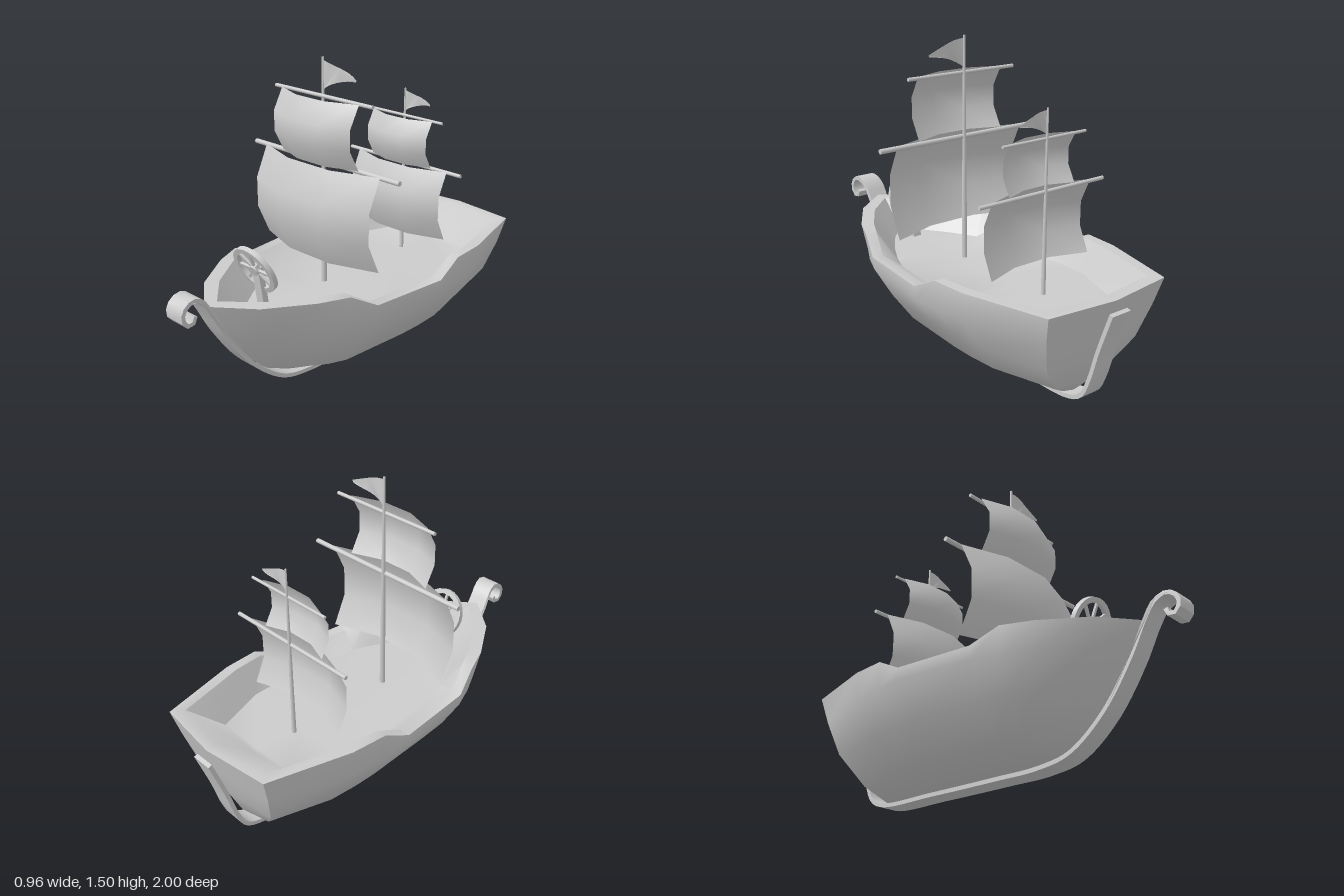
import * as THREE from 'three';
import { toCreasedNormals } from 'three/addons/utils/BufferGeometryUtils.js';

const grey = new THREE.MeshStandardMaterial({ color: 0xcccccc });
const thin = new THREE.MeshStandardMaterial({ color: 0xcccccc, side: THREE.DoubleSide });

function add(parent, name, geometry, material = grey) {
  const mesh = new THREE.Mesh(geometry, material);
  mesh.name = name;
  parent.add(mesh);
  return mesh;
}

// Hull: half outlines from stem to stern, mirrored into closed loops and stitched upwards
function hullGeometry() {
  const dip = [.54, .54, .54, .54, .47, .47, .54, .54, .54, .54];
  const row = (y, x, z) => ({ y: x.map((_, i) => (Array.isArray(y) ? y[i] : y)), x, z });
  const flat = r => ({ ...r, x: r.x.map(() => 0) });
  const bottom = row(.03, [0, .03, .05, .05, .05, .05, .05, .05, .05, 0],
    [.35, .3, .26, .22, .16, -.2, -.31, -.45, -.72, -.74]);
  const deck = row(.4, [0, .09, .18, .25, .29, .33, .335, .33, .24, 0],
    [.62, .53, .4, .27, .17, -.2, -.33, -.45, -.7, -.73]);
  const rows = [
    flat(bottom),
    bottom,
    row(.1, [0, .07, .14, .19, .225, .25, .25, .24, .15, 0],
      [.5, .42, .34, .27, .18, -.2, -.32, -.47, -.775, -.81]),
    row(.25, [0, .13, .25, .3, .335, .36, .355, .34, .265, 0],
      [.65, .53, .39, .3, .19, -.2, -.33, -.49, -.845, -.88]),
    row(.41, [0, .175, .315, .38, .43, .475, .465, .445, .315, 0],
      [.76, .62, .44, .32, .2, -.2, -.34, -.51, -.89, -.925]),
    row(dip, [0, .19, .33, .39, .435, .475, .465, .45, .34, 0],
      [.83, .68, .47, .33, .2, -.2, -.34, -.52, -.925, -.965]),
    row(dip, [0, .155, .275, .335, .38, .42, .415, .4, .3, 0],
      [.76, .62, .44, .32, .2, -.2, -.34, -.5, -.865, -.905]),
    deck,
    flat(deck),
  ];
  const half = 10, loop = 2 * half - 2;
  const position = [], index = [];
  rows.forEach((r, j) => {
    for (let i = 0; i < loop; i++) {
      const k = i < half ? i : loop - i;
      position.push(i < half ? r.x[k] : -r.x[k], r.y[k], r.z[k]);
      if (j === rows.length - 1) continue;
      const a = j * loop + i, b = j * loop + (i + 1) % loop;
      index.push(a, b, b + loop, a, b + loop, a + loop);
    }
  });
  const g = new THREE.BufferGeometry();
  g.setAttribute('position', new THREE.Float32BufferAttribute(position, 3));
  g.setIndex(index);
  return toCreasedNormals(g, .7);
}

// Keel strip: a constant-thickness band following a side profile, ending in a scroll
function keelGeometry() {
  const path = [[-.988, .495], [-.92, .3], [-.875, .15], [-.83, .06], [-.75, .022], [-.4, .013],
    [0, .01], [.25, .012], [.42, .045], [.6, .18], [.75, .38], [.83, .525], [.88, .602],
    [.93, .625], [.975, .602], [.99, .56], [.968, .523], [.935, .527], [.925, .553]];
  const curve = new THREE.CatmullRomCurve3(path.map(p => new THREE.Vector3(p[0], p[1], 0)));
  const outer = [], inner = [], n = 90, h = .01;
  for (let i = 0; i <= n; i++) {
    const p = curve.getPointAt(i / n), t = curve.getTangentAt(i / n);
    outer.push(new THREE.Vector2(p.x + t.y * h, p.y - t.x * h));
    inner.unshift(new THREE.Vector2(p.x - t.y * h, p.y + t.x * h));
  }
  const g = new THREE.ExtrudeGeometry(new THREE.Shape([...outer, ...inner]),
    { depth: .105, bevelEnabled: false });
  g.translate(0, 0, -.0525).rotateY(-Math.PI / 2);
  // The scroll leans slightly to one side
  const p = g.attributes.position;
  for (let i = 0; i < p.count; i++) {
    p.setX(i, p.getX(i) + .015 * THREE.MathUtils.smoothstep(p.getZ(i), .83, .93));
  }
  return toCreasedNormals(g, .6);
}

// Sail: a 3 x 3 patch bellied forward in both directions
function sailGeometry(width, bottom, top, z, bellyX, bellyY) {
  const g = new THREE.PlaneGeometry(width, top - bottom, 3, 3);
  const p = g.attributes.position;
  for (let i = 0; i < p.count; i++) {
    const col = i % 4, line = Math.floor(i / 4);
    const midX = col === 1 || col === 2, midY = line === 1 || line === 2;
    if (midX) p.setX(i, Math.sign(p.getX(i)) * width * .18);
    p.setY(i, p.getY(i) + (top + bottom) / 2);
    p.setZ(i, z + (midX ? bellyX : 0) + (midY ? bellyY : 0));
  }
  g.computeVertexNormals();
  return g;
}

// Mast with two yards, two sails and a pennant, standing on its own origin
function createMast(name) {
  const mast = new THREE.Group();
  mast.name = name;
  add(mast, 'mastPole', new THREE.CylinderGeometry(.006, .014, 1.1, 10).translate(0, .55, 0));
  for (const [y, length, r, x] of [[.617, .93, .012, .007], [.925, .615, .009, .004]]) {
    add(mast, 'yard', new THREE.CylinderGeometry(r, r, length, 10)
      .rotateZ(Math.PI / 2).translate(x, y, .008));
  }
  add(mast, 'lowerSail', sailGeometry(.74, .165, .622, .02, .08, .07), thin);
  add(mast, 'upperSail', sailGeometry(.49, .625, .928, .025, .058, .055), thin);
  const flag = new THREE.Shape();
  flag.moveTo(0, 1.088);
  flag.quadraticCurveTo(.1, 1.075, .205, 1.025);
  flag.lineTo(.2, 1.015);
  flag.quadraticCurveTo(.08, 1.01, 0, .95);
  const g = new THREE.ShapeGeometry(flag, 8);
  const p = g.attributes.position;
  for (let i = 0; i < p.count; i++) p.setZ(i, .008 * Math.sin(p.getX(i) * 30));
  g.computeVertexNormals();
  add(mast, 'pennant', g, thin);
  return mast;
}

// Steering wheel: rim, hub and spokes, axis along z
function createWheel() {
  const wheel = new THREE.Group();
  wheel.name = 'steeringWheel';
  const profile = [[.1, -.012], [.125, -.012], [.125, .012], [.1, .012], [.1, -.012]]
    .map(p => new THREE.Vector2(...p));
  add(wheel, 'wheelRim',
    toCreasedNormals(new THREE.LatheGeometry(profile, 28).rotateX(Math.PI / 2), .6));
  add(wheel, 'wheelHub', new THREE.CylinderGeometry(.026, .026, .03, 16).rotateX(Math.PI / 2));
  for (let i = 0; i < 8; i++) {
    add(wheel, 'wheelSpoke', new THREE.BoxGeometry(.012, .09, .012)
      .translate(0, .063, 0).rotateZ(i * Math.PI / 4));
  }
  return wheel;
}

export function createModel() {
  const ship = new THREE.Group();
  ship.name = 'sailingShip';
  add(ship, 'hull', hullGeometry());
  add(ship, 'keel', keelGeometry());

  const mainMast = createMast('mainMast');
  mainMast.position.set(-.024, .4, .08);
  const rearMast = createMast('rearMast');
  rearMast.position.set(-.024, .4, -.5);
  rearMast.scale.setScalar(.78);
  ship.add(mainMast, rearMast);

  // Wheel leans forward on its post
  const wheel = createWheel();
  wheel.position.set(-.01, .612, .528);
  wheel.rotation.x = .4;
  ship.add(wheel);
  const post = add(ship, 'wheelPost', new THREE.BoxGeometry(.045, .24, .03));
  post.position.set(-.01, .505, .5);
  post.rotation.x = .15;
  return ship;
}
